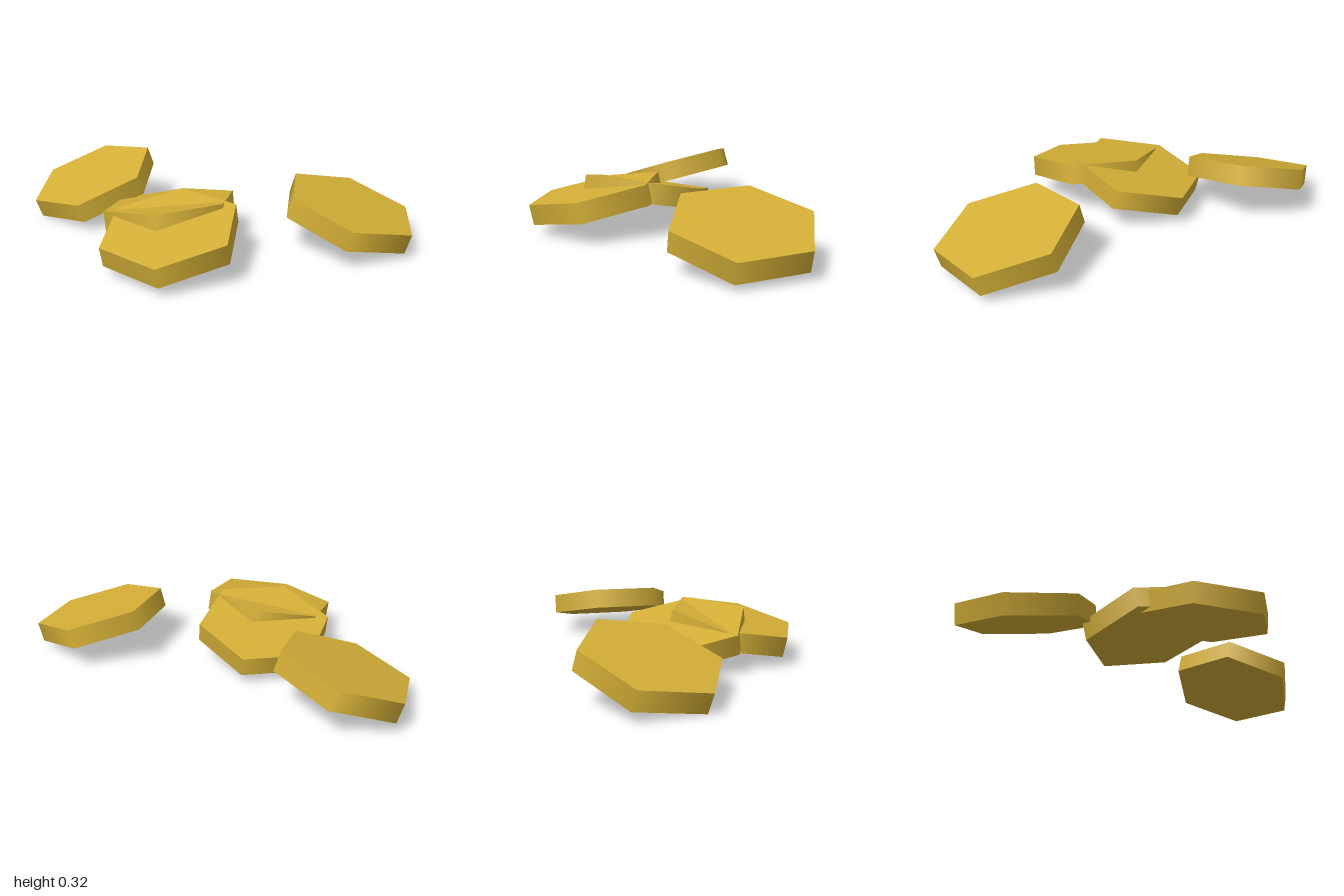
import * as THREE from 'three';

// Four scattered, slightly tilted six-sided gold coins
export function createModel() {
  const group = new THREE.Group();
  group.name = 'scatteredCoins';

  const gold = new THREE.MeshStandardMaterial({ color: 0xd4af37 });
  gold.name = 'gold';

  // Smooth-shaded rim, corners pointing along z
  const coinShape = new THREE.CylinderGeometry(0.342, 0.342, 0.102, 6);

  // Position, then tilt about x, y and z
  const coins = [
    { name: 'backCoin', at: [-0.111, 0.163, -0.652], tilt: [-0.161, 0.01, 0.286] },
    { name: 'middleCoin', at: [-0.164, 0.164, -0.05], tilt: [-0.203, 0, -0.09] },
    { name: 'rightCoin', at: [-0.385, 0.165, 0.143], tilt: [-0.005, 0, 0.202] },
    { name: 'frontCoin', at: [0.385, 0.165, 0.65], tilt: [0.239, 0, -0.109] },
  ];

  for (const { name, at, tilt } of coins) {
    const coin = new THREE.Mesh(coinShape, gold);
    coin.name = name;
    coin.position.set(...at);
    coin.rotation.set(...tilt);
    group.add(coin);
  }
  return group;
}
